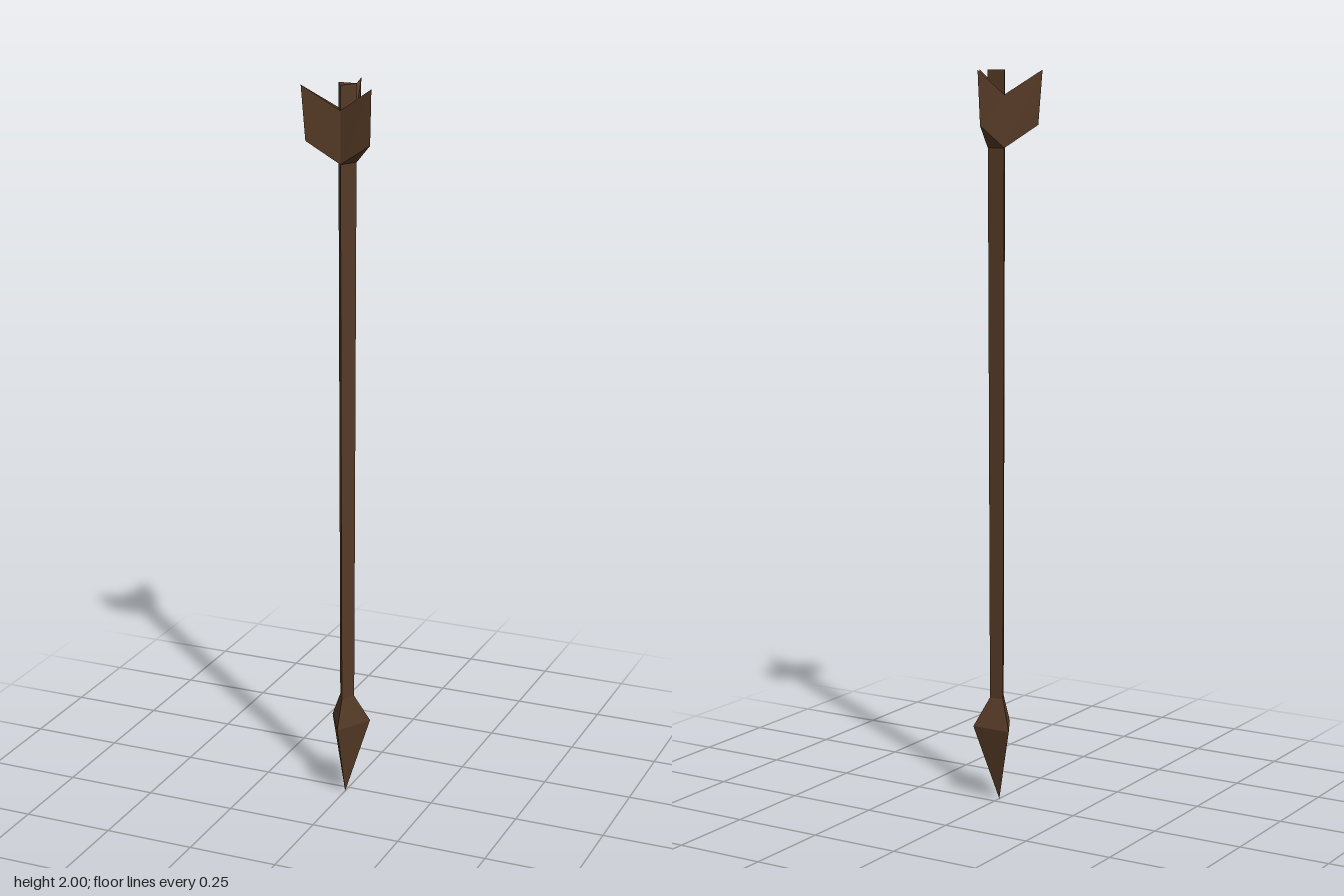
import * as THREE from 'three';

const wood = new THREE.MeshStandardMaterial({ color: 0x553a26, flatShading: true, roughness: 1 });

// Closed solid through three-cornered rings, listed from bottom to top
function loft(name, rings) {
  const pos = [];
  const tri = (a, b, c) => {
    const ab = b.clone().sub(a), ac = c.clone().sub(a);
    if (ab.cross(ac).length() < 1e-9) return; // skip collapsed faces at points
    for (const p of [a, b, c]) pos.push(p.x, p.y, p.z);
  };
  for (let r = 0; r < rings.length - 1; r++) {
    const low = rings[r], up = rings[r + 1];
    for (let i = 0; i < 3; i++) {
      const j = (i + 1) % 3;
      tri(low[i], low[j], up[j]);
      tri(low[i], up[j], up[i]);
    }
  }
  const [b0, b1, b2] = rings[0];
  tri(b0, b2, b1);
  tri(...rings[rings.length - 1]);
  const geo = new THREE.BufferGeometry();
  geo.setAttribute('position', new THREE.Float32BufferAttribute(pos, 3));
  geo.computeVertexNormals();
  const mesh = new THREE.Mesh(geo, wood);
  mesh.name = name;
  return mesh;
}

const v = (x, y, z) => new THREE.Vector3(x, y, z);

// Triangle with one corner to the front and two at the back
const ring = (y, halfWidth, front, back) => [v(0, y, front), v(halfWidth, y, back), v(-halfWidth, y, back)];

export function createModel() {
  const group = new THREE.Group();
  group.name = 'arrow';

  // Slightly tapered three-sided shaft
  group.add(loft('shaft', [ring(0.28, 0.021, 0.048, 0.01), ring(2, 0.026, 0.054, 0.007)]));

  // Pointed head
  group.add(loft('arrowhead', [
    ring(0, 0, 0.025, 0.025),
    ring(0.21, 0.057, 0.081, -0.019),
    ring(0.29, 0.021, 0.048, 0.01),
  ]));

  // One swept fin on each face of the shaft
  const fins = [
    ['leftFin', [0.092, 0.077], [0.096, 0.079]],
    ['backFin', [0, -0.073], [0, -0.085]],
    ['rightFin', [-0.087, 0.08], [-0.098, 0.083]],
  ];
  const lower = ring(1.795, 0.026, 0.054, 0.007);
  const upper = ring(1.935, 0.026, 0.054, 0.007);
  fins.forEach(([name, low, top], i) => {
    const j = (i + 1) % 3;
    group.add(loft(name, [
      [lower[i], v(low[0], 1.855, low[1]), lower[j]],
      [upper[i], v(top[0], 2, top[1]), upper[j]],
    ]));
  });

  return group;
}
